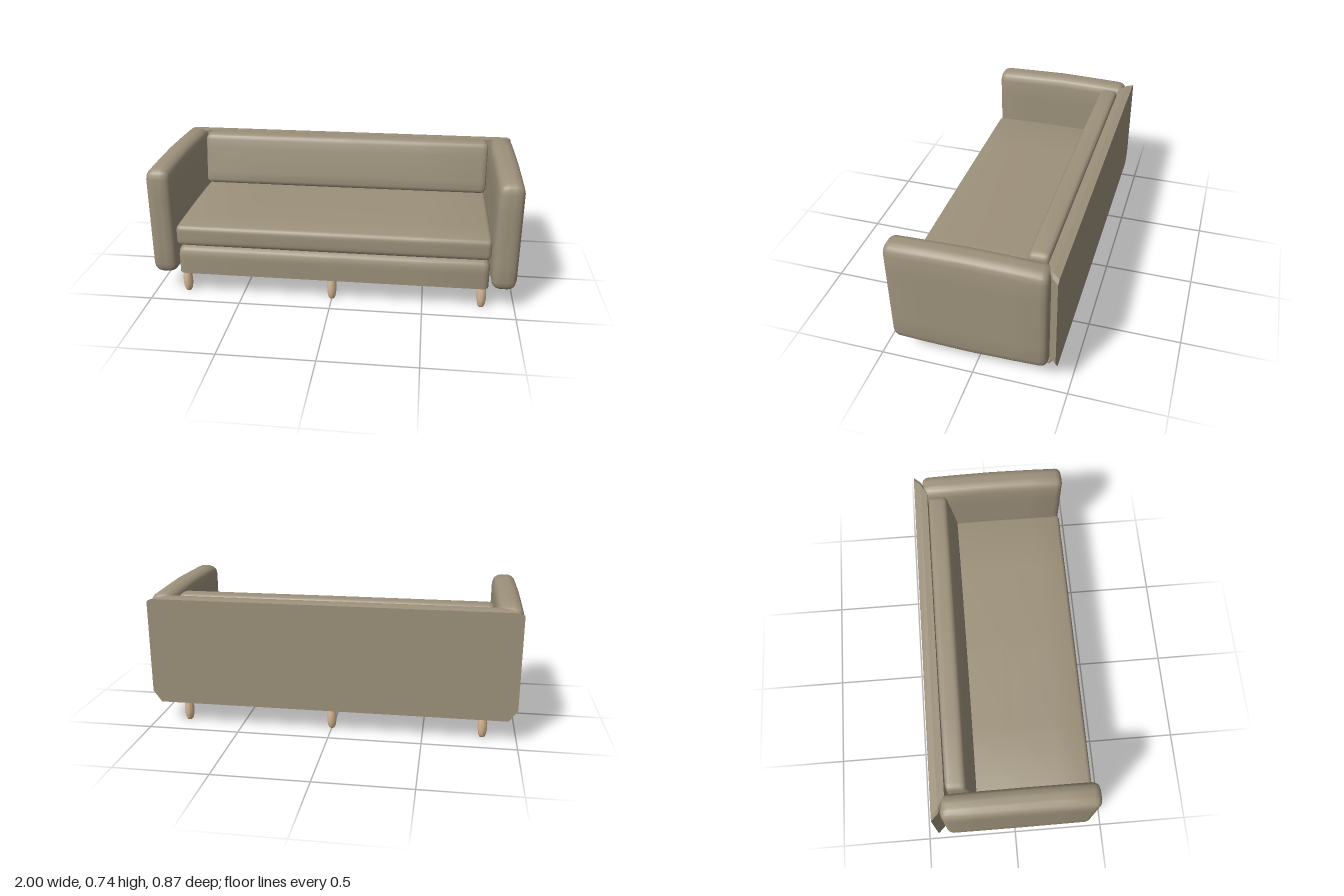
import * as THREE from 'three';
import { mergeVertices, toCreasedNormals } from 'three/addons/utils/BufferGeometryUtils.js';

const fabric = new THREE.MeshStandardMaterial({ color: 0x9d917b });
fabric.name = 'taupe fabric';
const wood = new THREE.MeshStandardMaterial({ color: 0xd8b894 });
wood.name = 'pale wood';

// Padded box from min to max corner, with a bevel radius and outward bulge per axis.
// An optional rule then moves each vertex.
function softBox(name, min, max, radius, bulge, rule) {
  const half = min.map((m, i) => (max[i] - m) / 2);
  const mid = min.map((m, i) => (max[i] + m) / 2);
  const stops = half.map((h, i) => {
    const r = radius[i], f = h - r;
    return [-h, -h + r * 0.41, -f, -f * 0.6, 0, f * 0.6, f, h - r * 0.41, h];
  });
  const geo = new THREE.BoxGeometry(8, 8, 8, 8, 8, 8);
  geo.deleteAttribute('uv');
  geo.deleteAttribute('normal');
  const pos = geo.attributes.position;
  const v = new THREE.Vector3();
  for (let n = 0; n < pos.count; n++) {
    v.fromBufferAttribute(pos, n);
    const p = v.toArray().map((c, i) => stops[i][Math.round(c + 4)]);
    const inner = p.map((c, i) => THREE.MathUtils.clamp(c, radius[i] - half[i], half[i] - radius[i]));
    const off = p.map((c, i) => (c - inner[i]) / radius[i]);
    const len = Math.hypot(...off) || 1;
    const q = inner.map((c, i) => c + (off[i] / len) * radius[i]);
    const u = q.map((c, i) => c / half[i]);
    const w = u.map((c) => Math.max(0, 1 - c * c));
    const out = [
      q[0] + u[0] * bulge[0] * w[1] * w[2],
      q[1] + u[1] * bulge[1] * Math.max(w[0], w[2]) * Math.sqrt(w[2]),
      q[2] + u[2] * bulge[2] * w[0] * w[1],
    ];
    v.set(out[0] + mid[0], out[1] + mid[1], out[2] + mid[2]);
    if (rule) rule(v);
    pos.setXYZ(n, v.x, v.y, v.z);
  }
  const mesh = new THREE.Mesh(toCreasedNormals(mergeVertices(geo, 1e-5), 0.5), fabric);
  mesh.name = name;
  return mesh;
}

// Back panel: wide at the rear, tapering behind the arms, lower corners cut off
function backPanel() {
  const outline = [[-0.95, 0.127], [0.95, 0.127], [0.995, 0.19], [0.995, 0.71], [0.97, 0.722],
    [-0.97, 0.722], [-0.995, 0.71], [-0.995, 0.19]];
  const shape = new THREE.Shape(outline.map(([x, y]) => new THREE.Vector2(x, y)));
  const geo = new THREE.ExtrudeGeometry(shape, { depth: 0.073, steps: 2, bevelEnabled: false });
  geo.translate(0, 0, -0.433);
  const pos = geo.attributes.position;
  for (let i = 0; i < pos.count; i++) {
    const z = pos.getZ(i);
    if (z > -0.37) pos.setX(i, pos.getX(i) * 0.9);
    else if (z > -0.41) pos.setX(i, pos.getX(i) * 0.965);
    if (z < -0.42 && pos.getY(i) > 0.7) pos.setY(i, pos.getY(i) - 0.006);
  }
  geo.computeVertexNormals();
  const mesh = new THREE.Mesh(geo, fabric);
  mesh.name = 'backPanel';
  return mesh;
}

export function createModel() {
  const sofa = new THREE.Group();
  sofa.name = 'sofa';

  sofa.add(backPanel());

  // Arms
  for (const side of [-1, 1]) {
    const x = [side * 0.862, side * 0.998].sort((a, b) => a - b);
    sofa.add(softBox(side > 0 ? 'leftArm' : 'rightArm',
      [x[0], 0.13, -0.39], [x[1], 0.727, 0.434], [0.045, 0.05, 0.04], [0, 0.014, 0],
      (v) => { v.y = Math.max(v.y, 0.128); }));
  }

  // Base with a flat underside
  sofa.add(softBox('base', [-0.852, 0.08, -0.37], [0.852, 0.288, 0.425], [0.035, 0.05, 0.035], [0, 0, 0],
    (v) => { v.y = Math.max(v.y, 0.13); }));

  // Seat cushion
  sofa.add(softBox('seatCushion', [-0.852, 0.298, -0.36], [0.852, 0.415, 0.428],
    [0.022, 0.025, 0.022], [0, 0.007, 0.003]));

  // Back cushion, thicker towards the bottom
  sofa.add(softBox('backCushion', [-0.85, 0.43, -0.355], [0.85, 0.727, -0.2],
    [0.035, 0.028, 0.028], [0, 0.003, 0.008], (v) => {
      const t = THREE.MathUtils.clamp((v.y - 0.45) / 0.277, 0, 1);
      v.z = -0.355 + (v.z + 0.355) * (1 - 0.32 * t);
    }));

  // Turned legs, two rows of three
  const profile = [[0, 0], [0.014, 0.001], [0.021, 0.015], [0.026, 0.045], [0.026, 0.08],
    [0.022, 0.115], [0.017, 0.135]].map(([x, y]) => new THREE.Vector2(x, y));
  const legGeo = new THREE.LatheGeometry(profile, 10);
  for (const z of [0.377, -0.356]) {
    for (const x of [-0.82, 0, 0.82]) {
      const leg = new THREE.Mesh(legGeo, wood);
      leg.name = z > 0 ? 'frontLeg' : 'backLeg';
      leg.position.set(x, 0, z);
      sofa.add(leg);
    }
  }
  return sofa;
}
